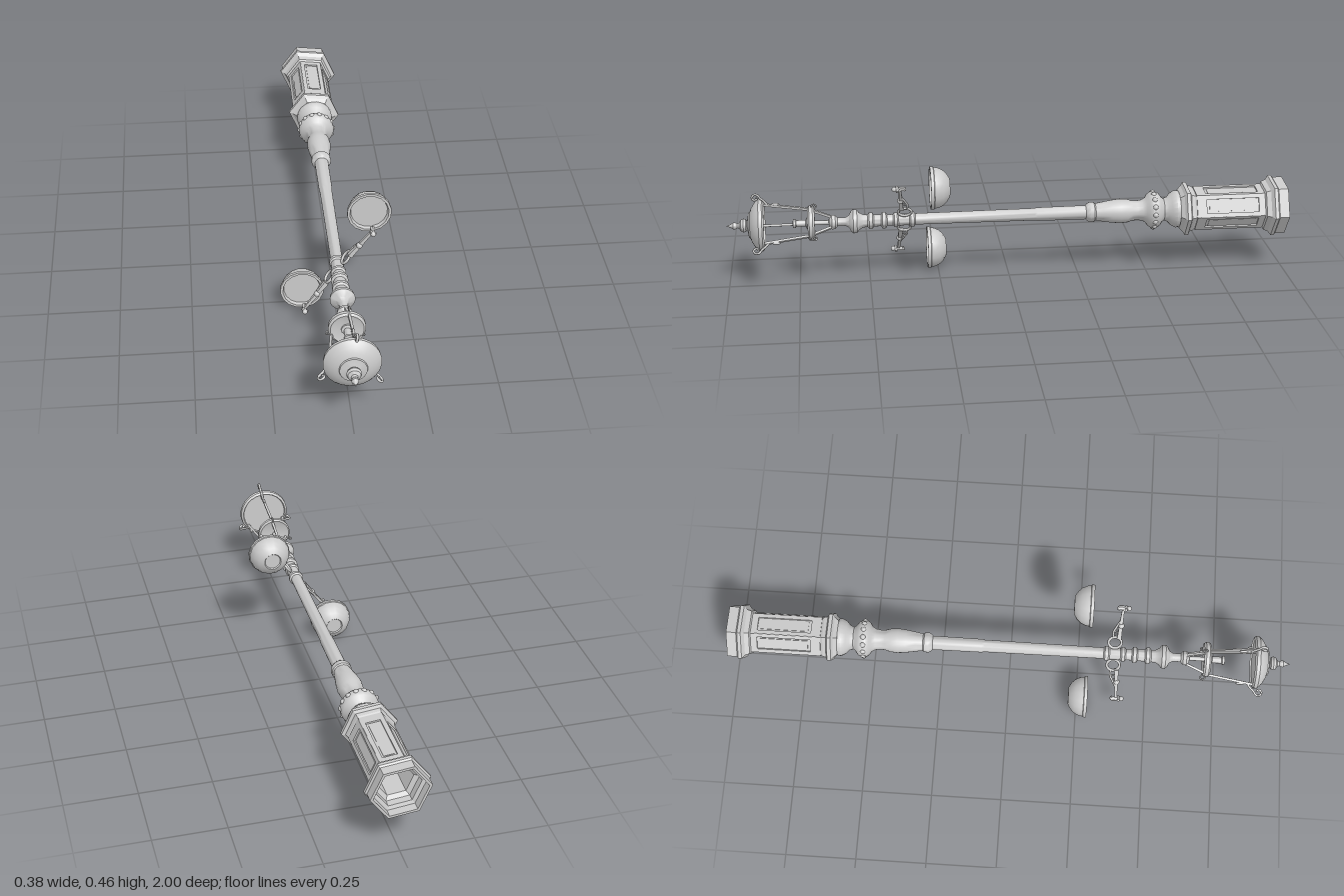
import * as THREE from 'three';
import { toCreasedNormals } from 'three/addons/utils/BufferGeometryUtils.js';

const material = new THREE.MeshStandardMaterial({ color: 0xcccccc, side: THREE.DoubleSide });
const flatMaterial = new THREE.MeshStandardMaterial({ color: 0xcccccc, side: THREE.DoubleSide, flatShading: true });

function add(parent, name, geometry, mat = material) {
  const mesh = new THREE.Mesh(geometry, mat);
  mesh.name = name;
  parent.add(mesh);
  return mesh;
}

// Turned part from [radius, height] pairs, creased at sharp edges
function turned(parent, name, points, sides = 24) {
  const g = new THREE.LatheGeometry(points.map(([r, y]) => new THREE.Vector2(r, y)), sides, Math.PI / 2);
  return sides === 6 ? add(parent, name, g, flatMaterial) : add(parent, name, toCreasedNormals(g, 0.6));
}

// Tapered straight bar between two points
function bar(parent, name, a, b, ra, rb, sides = 4) {
  const from = new THREE.Vector3(...a), to = new THREE.Vector3(...b);
  const dir = to.clone().sub(from);
  const g = new THREE.CylinderGeometry(rb, ra, dir.length(), sides, 1, false, Math.PI / sides);
  const mesh = add(parent, name, g, sides < 8 ? flatMaterial : material);
  mesh.position.copy(from).lerp(to, 0.5);
  mesh.quaternion.setFromUnitVectors(new THREE.Vector3(0, 1, 0), dir.normalize());
  return mesh;
}

function tube(parent, name, points, radius) {
  const curve = new THREE.CatmullRomCurve3(points.map(([x, y]) => new THREE.Vector3(x, y, 0)));
  return add(parent, name, new THREE.TubeGeometry(curve, 28, radius, 6));
}

function ball(parent, name, x, y, z, r) {
  const mesh = add(parent, name, new THREE.SphereGeometry(r, 10, 8));
  mesh.position.set(x, y, z);
  return mesh;
}

// Copies built around the post axis
function around(parent, name, count, start, build) {
  for (let i = 0; i < count; i++) {
    const g = new THREE.Group();
    g.name = name;
    g.rotation.y = start + (i * 2 * Math.PI) / count;
    build(g);
    parent.add(g);
  }
}

function buildPedestal(post) {
  // Hollow six-sided shell, open underneath
  turned(post, 'pedestal', [
    [0.02, -0.66], [0.062, -0.66], [0.062, -0.93], [0.078, -0.94], [0.078, -0.965], [0.092, -0.97], [0.092, -1],
    [0.102, -1], [0.102, -0.965], [0.109, -0.96], [0.109, -0.948], [0.094, -0.938], [0.088, -0.922], [0.073, -0.915],
    [0.073, -0.672], [0.08, -0.662], [0.084, -0.65], [0.096, -0.645], [0.096, -0.632], [0.083, -0.625], [0.07, -0.612], [0.02, -0.608],
  ], 6);
  // Panel frames on the six faces
  const w = 0.039, frame = new THREE.Shape();
  frame.moveTo(-w, -0.918).lineTo(w, -0.918).lineTo(w, -0.67).lineTo(-w, -0.67).closePath();
  const hole = new THREE.Path();
  hole.moveTo(-0.025, -0.895).lineTo(-0.025, -0.705).lineTo(0.025, -0.705).lineTo(0.025, -0.895).closePath();
  frame.holes.push(hole);
  const frameGeometry = new THREE.ExtrudeGeometry(frame, { depth: 0.007, bevelEnabled: false });
  around(post, 'pedestalPanel', 6, 0, (g) => {
    add(g, 'panelFrame', frameGeometry, flatMaterial).position.z = 0.062;
    const inset = add(g, 'panelInset', new THREE.BoxGeometry(0.036, 0.17, 0.004), flatMaterial);
    inset.position.set(0, -0.8, 0.0635);
  });
}

function buildPost(post) {
  turned(post, 'lowerPost', [
    [0, -0.615], [0.066, -0.612], [0.067, -0.6], [0.058, -0.583], [0.045, -0.572], [0.04, -0.558], [0.046, -0.55],
    [0.06, -0.54], [0.066, -0.528], [0.066, -0.512], [0.058, -0.5], [0.046, -0.493], [0.038, -0.48], [0.035, -0.462],
    [0.036, -0.445], [0.042, -0.425], [0.044, -0.4], [0.041, -0.37], [0.035, -0.335], [0.031, -0.31],
    [0.035, -0.305], [0.036, -0.29], [0.031, -0.28], [0.025, -0.275], [0.024, -0.1], [0.022, -0.09], [0.02, 0.34],
  ]);
  around(post, 'beadRing', 14, 0, (g) => ball(g, 'bead', 0.062, -0.52, 0, 0.01));
  // Collars and bell below the lantern
  turned(post, 'upperPost', [
    [0.02, 0.335], [0.026, 0.34], [0.026, 0.352], [0.021, 0.357], [0.021, 0.395], [0.026, 0.4], [0.026, 0.41],
    [0.02, 0.415], [0.02, 0.435], [0.029, 0.44], [0.029, 0.452], [0.021, 0.457], [0.021, 0.482], [0.029, 0.487],
    [0.029, 0.499], [0.022, 0.505], [0.023, 0.52], [0.03, 0.533], [0.041, 0.542], [0.043, 0.555], [0.036, 0.563],
    [0.022, 0.57], [0.015, 0.582], [0.015, 0.61], [0.024, 0.618], [0.026, 0.63], [0.016, 0.64], [0, 0.642],
  ]);
}

function buildLantern(post) {
  turned(post, 'lanternTray', [
    [0, 0.694], [0.05, 0.694], [0.057, 0.69], [0.062, 0.697], [0.062, 0.709], [0.055, 0.715], [0.046, 0.712], [0, 0.712],
  ]);
  bar(post, 'trayStem', [0, 0.635, 0], [0, 0.7, 0], 0.008, 0.008, 8);
  turned(post, 'lampHolder', [
    [0.02, 0.71], [0.02, 0.718], [0.012, 0.722], [0.012, 0.755], [0.016, 0.758], [0.016, 0.766], [0, 0.768],
  ], 12);
  turned(post, 'lanternRoof', [
    [0, 0.872], [0.082, 0.872], [0.085, 0.866], [0.093, 0.872], [0.094, 0.884], [0.087, 0.892], [0.075, 0.902],
    [0.06, 0.911], [0.046, 0.916], [0.044, 0.921], [0.025, 0.924], [0.014, 0.928], [0.014, 0.932],
  ]);
  turned(post, 'finial', [
    [0.014, 0.926], [0.022, 0.931], [0.025, 0.939], [0.021, 0.948], [0.011, 0.954], [0.008, 0.961],
    [0.012, 0.968], [0.012, 0.975], [0.006, 0.983], [0.003, 0.992], [0, 1],
  ], 16);
  // Three ribs, each with a scroll above and a curl at the tray
  around(post, 'lanternRib', 3, Math.PI / 6, (g) => {
    bar(g, 'lowerRib', [0.02, 0.628, 0], [0.05, 0.7, 0], 0.006, 0.006);
    bar(g, 'upperRib', [0.054, 0.705, 0], [0.08, 0.875, 0], 0.006, 0.006);
    const leaf = ball(g, 'ribLeaf', 0.079, 0.825, 0, 0.006);
    leaf.scale.set(0.8, 2.5, 0.8);
    const scroll = [[0.078, 0.852], [0.092, 0.863], [0.104, 0.876]];
    for (let i = 0; i <= 9; i++) {
      const a = -0.9 + i * 0.62, r = 0.014 - i * 0.0009;
      scroll.push([0.106 + r * Math.cos(a), 0.894 + r * Math.sin(a)]);
    }
    tube(g, 'roofScroll', scroll, 0.004).scale.z = 1.2;
    const curl = add(g, 'trayCurl', new THREE.TorusGeometry(0.008, 0.003, 6, 12));
    curl.position.set(0.065, 0.692, 0);
  });
}

function buildBracket(side) {
  const ring = add(side, 'bracketRing', new THREE.TorusGeometry(0.023, 0.005, 8, 20));
  ring.position.set(0.048, 0.373, 0);
  // Tapering arm with a lower brace
  bar(side, 'bracketArm', [0.066, 0.386, 0], [0.186, 0.392, 0], 0.011, 0.006);
  tube(side, 'bracketBrace', [[0.07, 0.366], [0.09, 0.364], [0.115, 0.374], [0.14, 0.386], [0.16, 0.389]], 0.004);
  const loop = add(side, 'braceLoop', new THREE.TorusGeometry(0.009, 0.003, 6, 14));
  loop.position.set(0.1, 0.378, 0);
  ball(side, 'armBead', 0.12, 0.39, 0, 0.011);
  // Hook end with a small cross piece
  tube(side, 'armHook', [[0.18, 0.392], [0.192, 0.398], [0.2, 0.392], [0.2, 0.38], [0.193, 0.374], [0.185, 0.378]], 0.004);
  bar(side, 'hookPost', [0.193, 0.372, 0], [0.193, 0.413, 0], 0.007, 0.007, 8);
  bar(side, 'hookCross', [0.193, 0.402, -0.012], [0.193, 0.402, 0.012], 0.005, 0.005, 8);
  ball(side, 'hookTip', 0.193, 0.412, 0, 0.009);
}

function buildBasket(side) {
  // Shallow bowl, filled just below its rim
  const basket = turned(side, 'hangingBasket', [
    [0, 0.224], [0.028, 0.224], [0.031, 0.22], [0.035, 0.222], [0.05, 0.231], [0.063, 0.245], [0.071, 0.262],
    [0.073, 0.275], [0.076, 0.277], [0.076, 0.288], [0.067, 0.288], [0.063, 0.276], [0, 0.276],
  ], 16);
  basket.position.x = 0.194;
}

export function createModel() {
  const model = new THREE.Group();
  model.name = 'streetLamp';
  // The lamp is built upright, turned on its axis and laid along z
  const laid = new THREE.Group();
  laid.name = 'lampLaidDown';
  laid.rotation.x = Math.PI / 2;
  laid.position.y = 0.232;
  model.add(laid);
  const post = new THREE.Group();
  post.name = 'lamp';
  post.rotation.y = 0.932;
  laid.add(post);

  buildPedestal(post);
  buildPost(post);
  buildLantern(post);
  around(post, 'basketSide', 2, 0, (side) => {
    buildBracket(side);
    buildBasket(side);
  });
  return model;
}
